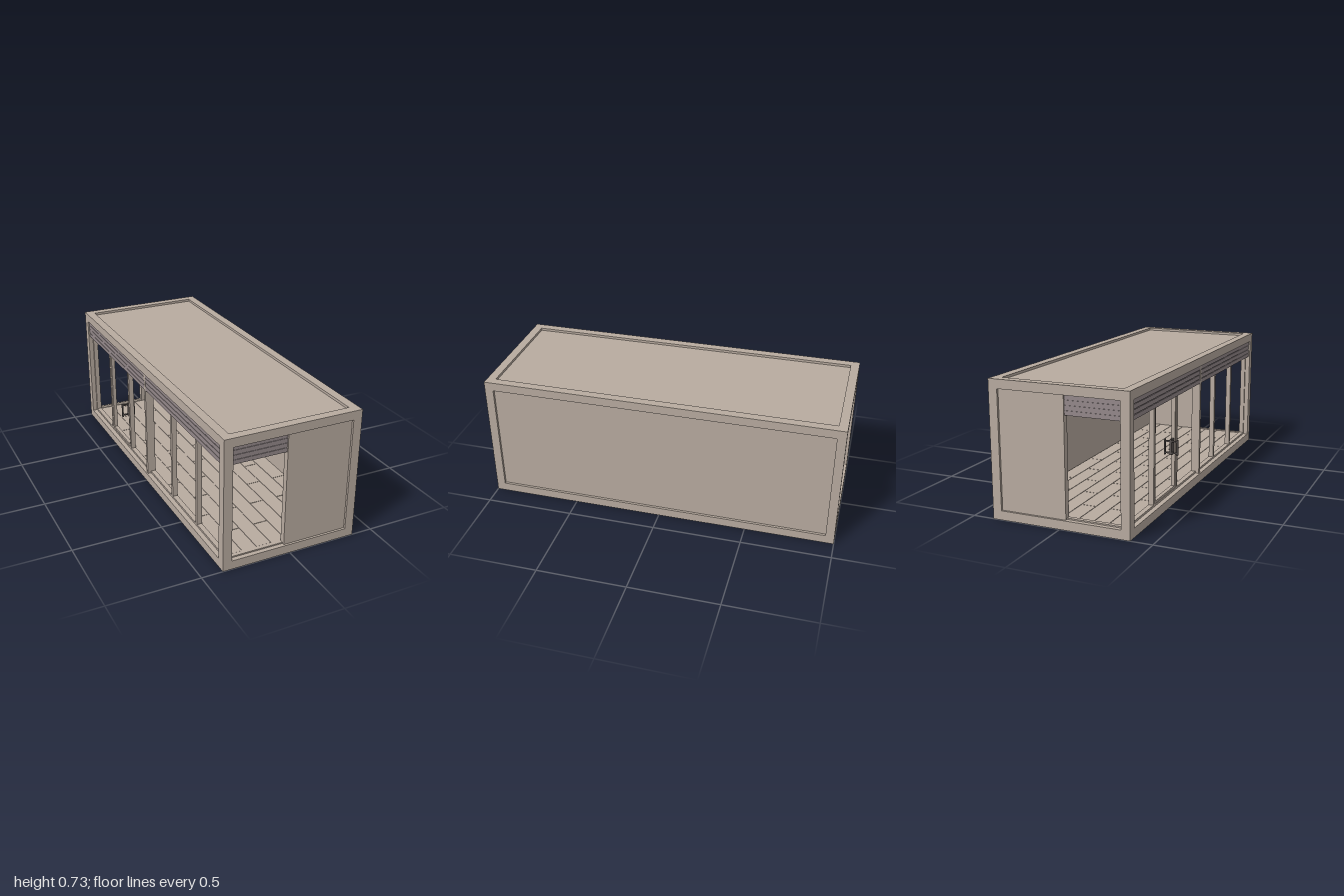
import * as THREE from 'three';

const mat = (name, color) => Object.assign(new THREE.MeshStandardMaterial({ color }), { name });

export function createModel() {
  const shell = mat('warm beige', 0xb8aba0);
  const shutter = mat('shutter mauve grey', 0x94898b);
  const metal = mat('dark handle metal', 0x5a5452);

  const W = 0.383, H = 0.733, L = 1, F = 0.049; // half width, height, half length, beam size
  const model = new THREE.Group();
  model.name = 'containerPavilion';

  const group = (name) => {
    const g = new THREE.Group();
    g.name = name;
    model.add(g);
    return g;
  };
  // Box given by its lower and upper corners
  const box = (parent, name, material, x0, x1, y0, y1, z0, z1) => {
    const m = new THREE.Mesh(new THREE.BoxGeometry(x1 - x0, y1 - y0, z1 - z0), material);
    m.position.set((x0 + x1) / 2, (y0 + y1) / 2, (z0 + z1) / 2);
    m.name = name;
    parent.add(m);
    return m;
  };

  // Outer frame: corner posts with long and short beams
  const frame = group('frame');
  for (const sx of [-1, 1]) {
    const [x0, x1] = sx < 0 ? [-W, -W + F] : [W - F, W];
    for (const sz of [-1, 1]) {
      const [z0, z1] = sz < 0 ? [-L, -L + F] : [L - F, L];
      box(frame, 'cornerPost', shell, x0, x1, F, H - F, z0, z1);
    }
    for (const y of [0, H - F]) box(frame, 'longBeam', shell, x0, x1, y, y + F, -L, L);
  }
  for (const y of [0, H - F])
    for (const z of [-L, L - F]) box(frame, 'endBeam', shell, -W + F, W - F, y, y + F, z, z + F);

  // Recessed roof, floor and solid long wall
  const xi = W - F, zi = L - F, R = 0.014;
  box(model, 'roofPanel', shell, -xi, xi, H - F + 0.004, H - R, -zi, zi);
  box(model, 'floorSlab', shell, -xi, xi, R, 0.05, -zi, zi);
  box(model, 'sideWall', shell, xi + 0.004, W - R, F, H - F, -zi, zi);

  // Staggered floor boards
  const floor = group('floorBoards');
  const rows = 8, bw = (2 * xi) / rows, bl = 0.38, gap = 0.0015;
  for (let i = 0; i < rows; i++) {
    const x = -xi + i * bw;
    for (let z = -zi - (i % 2) * bl / 2; z < zi; z += bl) {
      const a = Math.max(z, -zi), b = Math.min(z + bl, zi);
      if (b - a > 0.01) box(floor, 'board', shell, x + gap, x + bw - gap, 0.049, 0.053, a + gap, b - gap);
    }
  }

  // Roller shutter of stacked slats along local x, facing local +z
  const yTop = H - F, yShut = 0.58, slats = 4;
  const addShutter = (name, length, x, z, turn) => {
    const g = group(name);
    box(g, 'shutterBack', shutter, -length / 2, length / 2, yShut, yTop, -0.008, 0.006);
    const h = (yTop - yShut) / slats;
    for (let i = 0; i < slats; i++) {
      const y = yShut + i * h;
      box(g, 'slat', shutter, -length / 2, length / 2, y + 0.0015, y + h - 0.0015, 0.004, 0.009);
    }
    g.position.set(x, 0, z);
    g.rotation.y = turn;
  };

  // Both ends: half wall, jamb, sill and shutter over the opening
  for (const s of [-1, 1]) {
    const end = group(s > 0 ? 'frontEnd' : 'backEnd');
    const zBox = (name, x0, x1, y0, y1, a, b) =>
      box(end, name, shell, x0, x1, y0, y1, Math.min(s * a, s * b), Math.max(s * a, s * b));
    zBox('endWall', -0.03, xi, F, yTop, 0.955, L - 0.012);
    zBox('jamb', -xi, -0.328, F, yTop, 0.952, 0.975);
    zBox('sill', -0.328, -0.03, F, 0.056, 0.952, 0.975);
    zBox('headRail', -0.328, -0.03, yTop - 0.012, yTop, 0.945, 0.962);
    addShutter(s > 0 ? 'frontShutter' : 'backShutter', 0.298, -0.179, s * 0.972, s > 0 ? 0 : Math.PI);
  }

  // Open long side: six bays of glazing frame
  const glazing = group('glazingFrame');
  const gx0 = -0.356, gx1 = -0.328, bay = (2 * zi) / 6, mw = 0.01;
  box(glazing, 'bottomRail', shell, gx0, gx1, F, 0.06, -zi, zi);
  box(glazing, 'topRail', shell, gx0, gx1, yTop - 0.014, yTop, -zi, zi);
  for (let i = 0; i <= 6; i++) {
    const z = -zi + i * bay;
    const a = i === 0 ? z : z - mw, b = i === 6 ? z : z + mw;
    box(glazing, 'mullion', shell, i === 3 ? -0.376 : gx0, gx1, F, yTop, a, b);
  }
  for (const s of [-1, 1])
    addShutter(s > 0 ? 'sideShutterFront' : 'sideShutterBack', zi - mw, -0.366, s * (zi + mw) / 2, -Math.PI / 2);

  // Door leaf in the second bay from the back
  const door = group('door');
  const d0 = -zi + bay + mw, d1 = -zi + 2 * bay - mw, st = 0.012;
  for (const z of [d0, d1 - st]) box(door, 'doorStile', shell, -0.353, -0.331, 0.06, 0.585, z, z + st);
  for (const y of [0.06, 0.573]) box(door, 'doorRail', shell, -0.353, -0.331, y, y + st, d0 + st, d1 - st);

  // Pull handles on both faces of the door
  const handle = group('doorHandle');
  const hz = -0.37;
  for (const [face, grip] of [[-0.345, -0.384], [-0.34, -0.303]]) {
    const out = Math.sign(grip - face), inner = grip - out * 0.008;
    box(handle, 'grip', metal, Math.min(grip, inner), Math.max(grip, inner), 0.255, 0.341, hz - 0.005, hz + 0.005);
    for (const y of [0.262, 0.326])
      box(handle, 'bracket', metal, Math.min(face, inner), Math.max(face, inner), y, y + 0.008, hz - 0.004, hz + 0.004);
  }
  box(handle, 'mountPlate', metal, -0.348, -0.336, 0.255, 0.341, hz - 0.005, hz + 0.032);

  return model;
}
